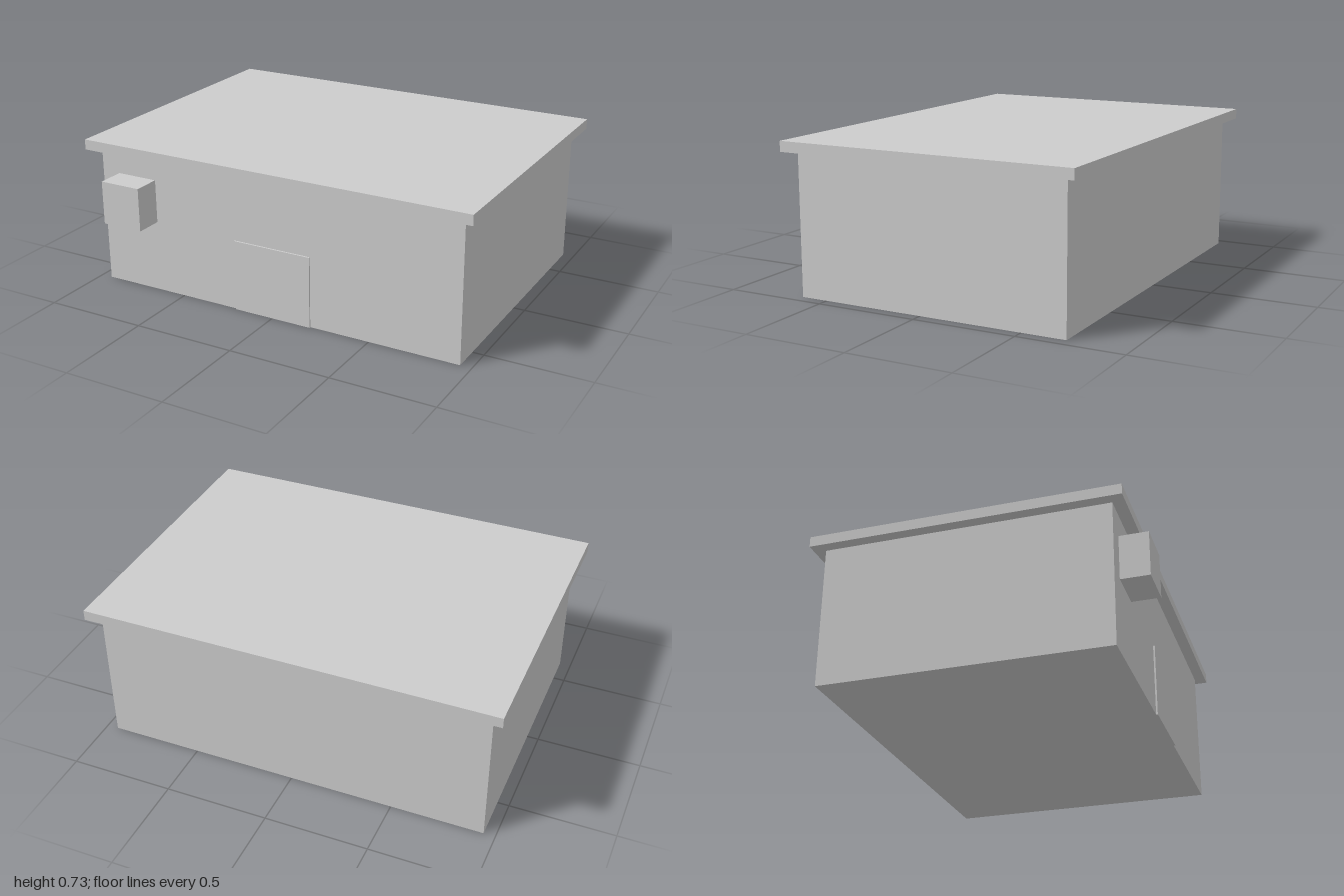
import * as THREE from 'three';

export function createModel() {
  const model = new THREE.Group();
  model.name = 'smallBuilding';

  const grey = new THREE.MeshStandardMaterial({ color: 0xcccccc });
  grey.name = 'light grey';

  // Box given by its extents along each axis
  function block(name, [x0, x1], [y0, y1], [z0, z1]) {
    const mesh = new THREE.Mesh(new THREE.BoxGeometry(x1 - x0, y1 - y0, z1 - z0), grey);
    mesh.position.set((x0 + x1) / 2, (y0 + y1) / 2, (z0 + z1) / 2);
    mesh.name = name;
    model.add(mesh);
  }

  // Main walls and the overhanging flat roof
  block('walls', [-0.945, 0.945], [0, 0.68], [-0.712, 0.634]);
  block('roofSlab', [-1, 1], [0.68, 0.73], [-0.768, 0.69]);

  // Thin door panel in the middle of the front wall
  block('door', [-0.2, 0.2], [0, 0.35], [0.634, 0.642]);

  // Box unit mounted high on the front wall
  block('wallUnit', [-0.85, -0.64], [0.355, 0.568], [0.634, 0.768]);

  return model;
}
